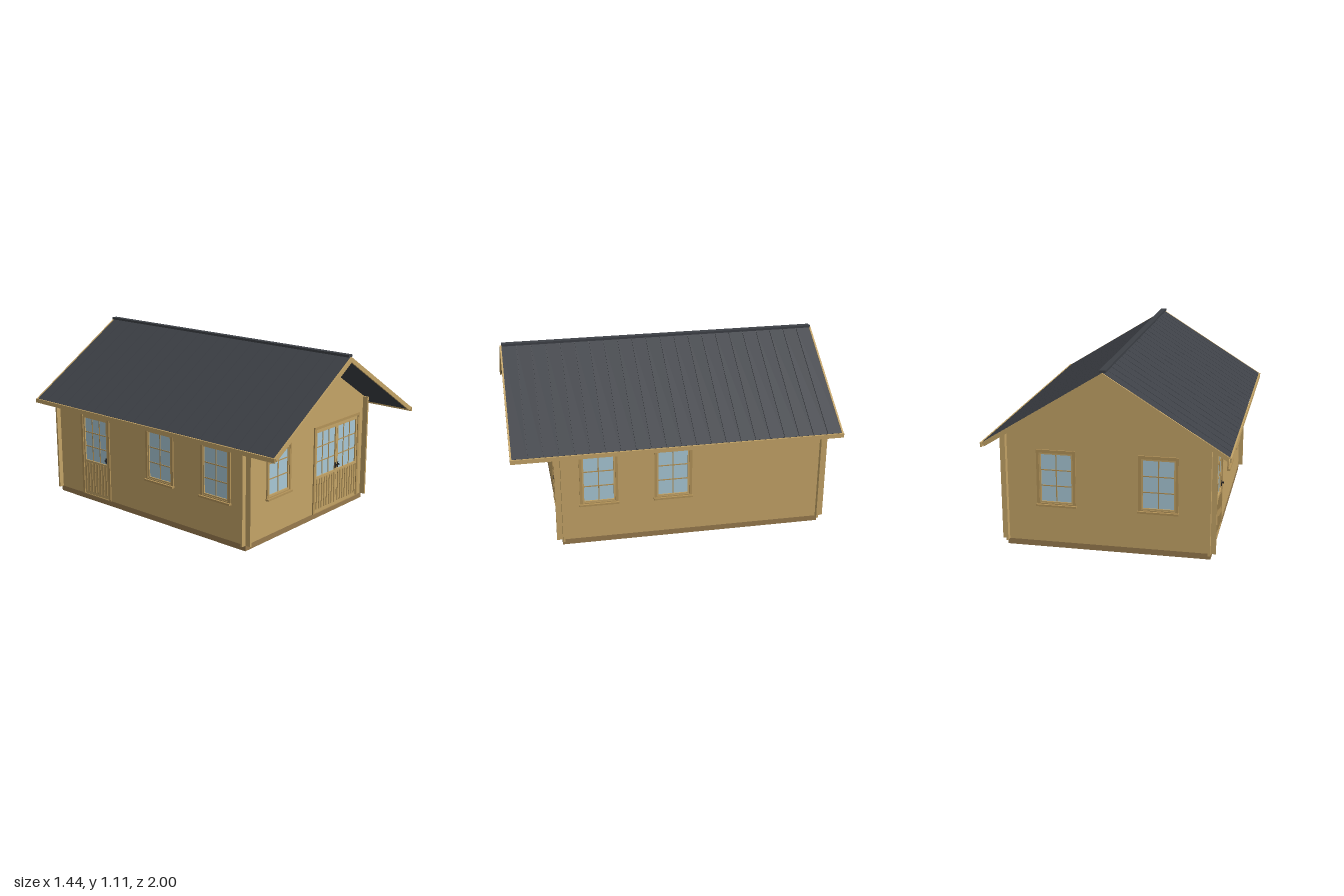
import * as THREE from 'three';

const mat = (color) => new THREE.MeshStandardMaterial({ color });
const WOOD = mat(0xc4a467), TRIM = mat(0xb39359), BASE = mat(0x987b4e), FLOOR = mat(0x6b5735);
const GLASS = mat(0xa8c8d6), ROOF = mat(0x3d4046), DARK = mat(0x222326);

const T = 0.013;             // wall thickness
const SLOPE = 0.62;          // roof rise per unit of run
const RIDGE = 1.092;
const FRONT = 0.71, BACK = 0.905, SIDE = 0.605;

function box(parent, name, material, w, h, d, x, y, z) {
  const m = new THREE.Mesh(new THREE.BoxGeometry(w, h, d), material);
  m.name = name;
  m.position.set(x, y, z);
  parent.add(m);
  return m;
}

function rectPoints(x0, y0, x1, y1) {
  return [[x0, y0], [x1, y0], [x1, y1], [x0, y1]].map(([x, y]) => new THREE.Vector2(x, y));
}

// Flat panel with rectangular holes, spanning z0 to z0 + depth
function panel(parent, name, material, outline, holes, z0, depth) {
  const shape = new THREE.Shape(outline);
  for (const h of holes) shape.holes.push(new THREE.Path(rectPoints(...h)));
  const m = new THREE.Mesh(new THREE.ExtrudeGeometry(shape, { depth, bevelEnabled: false }), material);
  m.name = name;
  m.position.z = z0;
  parent.add(m);
}

// Glass pane with glazing bars
function glazing(parent, x0, y0, x1, y1, cols, rows) {
  const w = x1 - x0, h = y1 - y0, cx = (x0 + x1) / 2, cy = (y0 + y1) / 2;
  box(parent, 'glass', GLASS, w, h, 0.003, cx, cy, -T / 2);
  for (let i = 1; i < cols; i++) box(parent, 'glazingBar', TRIM, 0.006, h, 0.01, x0 + (w * i) / cols, cy, -T / 2);
  for (let i = 1; i < rows; i++) box(parent, 'glazingBar', TRIM, w, 0.006, 0.01, cx, y0 + (h * i) / rows, -T / 2);
}

function addWindow(wall, x) {
  const g = new THREE.Group();
  g.name = 'window';
  g.position.x = x;
  panel(g, 'windowFrame', TRIM, rectPoints(-0.116, 0.266, 0.116, 0.602), [[-0.1, 0.276, 0.1, 0.584]], -T - 0.008, T + 0.016);
  panel(g, 'windowSash', WOOD, rectPoints(-0.1, 0.276, 0.1, 0.584), [[-0.09, 0.286, 0.09, 0.574]], -T, T + 0.003);
  glazing(g, -0.09, 0.286, 0.09, 0.574, 2, 3);
  box(g, 'windowSill', TRIM, 0.24, 0.012, 0.02, 0, 0.264, 0.01);
  wall.add(g);
}

// Door of one or two leaves; handles lists the x of each handle
function addDoor(wall, x, leaves, handles) {
  const g = new THREE.Group();
  g.name = 'door';
  g.position.x = x;
  const half = leaves * 0.115;
  panel(g, 'doorFrame', TRIM, rectPoints(-half - 0.018, 0.035, half + 0.018, 0.602),
    [[-half, 0.04, half, 0.585]], -T - 0.008, T + 0.016);
  for (let i = 0; i < leaves; i++) {
    const x0 = -half + i * 0.23, x1 = x0 + 0.23;
    panel(g, 'doorLeaf', WOOD, rectPoints(x0 + 0.001, 0.04, x1 - 0.001, 0.585),
      [[x0 + 0.015, 0.275, x1 - 0.015, 0.561]], -T, T + 0.003);
    glazing(g, x0 + 0.015, 0.275, x1 - 0.015, 0.561, 3, 3);
    for (let k = 0; k < 8; k++)
      box(g, 'doorBatten', TRIM, 0.009, 0.2, 0.006, x0 + 0.02 + (k * 0.19) / 7, 0.16, 0.004);
  }
  for (const hx of handles) {
    box(g, 'handlePlate', DARK, 0.01, 0.035, 0.004, hx, 0.305, 0.005);
    box(g, 'handleLever', DARK, 0.008, 0.008, 0.014, hx, 0.308, 0.012);
  }
  wall.add(g);
}

// One wall, built facing +z and turned to its side; hollow where windows and doors sit
function addWall(house, name, angle, dist, outline, windows, door) {
  const g = new THREE.Group();
  g.name = name;
  g.rotation.y = angle;
  g.position.set(Math.sin(angle) * dist, 0, Math.cos(angle) * dist);
  const holes = windows.map((x) => [x - 0.1, 0.276, x + 0.1, 0.584]);
  if (door) holes.push([door.x - door.leaves * 0.115, 0.04, door.x + door.leaves * 0.115, 0.585]);
  panel(g, name + 'Boards', WOOD, outline, holes, -T, T);
  windows.forEach((x) => addWindow(g, x));
  if (door) addDoor(g, door.x, door.leaves, door.handles);
  house.add(g);
}

// One roof slope with its barge boards and eaves board
function roofSlope(name) {
  const side = new THREE.Group();
  side.name = name;
  const slope = new THREE.Group();
  const a = Math.atan(SLOPE), L = 0.71 / Math.cos(a);
  slope.position.y = RIDGE;
  slope.rotation.z = -a;
  box(slope, 'roofDeck', ROOF, L, 0.01, 1.98, L / 2, -0.012, 0);
  const n = 22, w = 1.98 / n;
  for (let i = 0; i < n; i++)
    box(slope, 'roofStrip', ROOF, L, 0.007, w - 0.004, L / 2, -0.0035, -0.99 + (i + 0.5) * w);
  for (const z of [-0.995, 0.995]) box(slope, 'bargeBoard', WOOD, L, 0.026, 0.01, L / 2, -0.013, z);
  side.add(slope);
  box(side, 'eavesBoard', WOOD, 0.01, 0.026, 2, 0.715, 0.638, 0);
  return side;
}

export function createModel() {
  const house = new THREE.Group();
  house.name = 'logCabin';

  // Floor frame and boards
  const midZ = (FRONT - BACK) / 2, lenZ = FRONT + BACK;
  const base = new THREE.Group();
  base.name = 'base';
  for (let i = 0; i < 8; i++)
    box(base, 'joist', BASE, 0.04, 0.035, lenZ, -0.585 + (i * 1.17) / 7, 0.0175, midZ);
  for (const z of [FRONT - 0.01, -BACK + 0.01]) box(base, 'rimBeam', BASE, 2 * SIDE, 0.035, 0.02, 0, 0.0175, z);
  const boards = 28, bw = lenZ / boards;
  box(base, 'subfloor', FLOOR, 2 * SIDE - 0.01, 0.004, lenZ - 0.01, 0, 0.036, midZ);
  for (let i = 0; i < boards; i++)
    box(base, 'floorBoard', FLOOR, 2 * SIDE - 0.01, 0.008, bw - 0.006, 0, 0.031, -BACK + (i + 0.5) * bw);
  house.add(base);

  // Walls run past each other at the corners
  const top = (x) => RIDGE - 0.019 - SLOPE * x;
  const gable = [[-0.635, 0.035], [0.635, 0.035], [0.635, top(0.635)], [0, top(0)], [-0.635, top(0.635)]]
    .map(([x, y]) => new THREE.Vector2(x, y));
  const eave = top(SIDE);
  addWall(house, 'frontWall', 0, FRONT, gable, [-0.3], { x: 0.3, leaves: 2, handles: [-0.012, 0.012] });
  addWall(house, 'backWall', Math.PI, BACK, gable, [-0.3, 0.3]);
  addWall(house, 'leftWall', Math.PI / 2, SIDE, rectPoints(-0.745, 0.035, 0.94, eave), [-0.482, -0.028]);
  addWall(house, 'rightWall', -Math.PI / 2, SIDE, rectPoints(-0.94, 0.035, 0.745, eave), [0.482, 0.028],
    { x: -0.55, leaves: 1, handles: [0.1] });

  // Roof
  const left = roofSlope('leftRoof'), right = roofSlope('rightRoof');
  right.rotation.y = Math.PI;
  house.add(left, right);
  box(house, 'ridgeCap', ROOF, 0.036, 0.014, 1.98, 0, 1.098, 0);
  return house;
}
